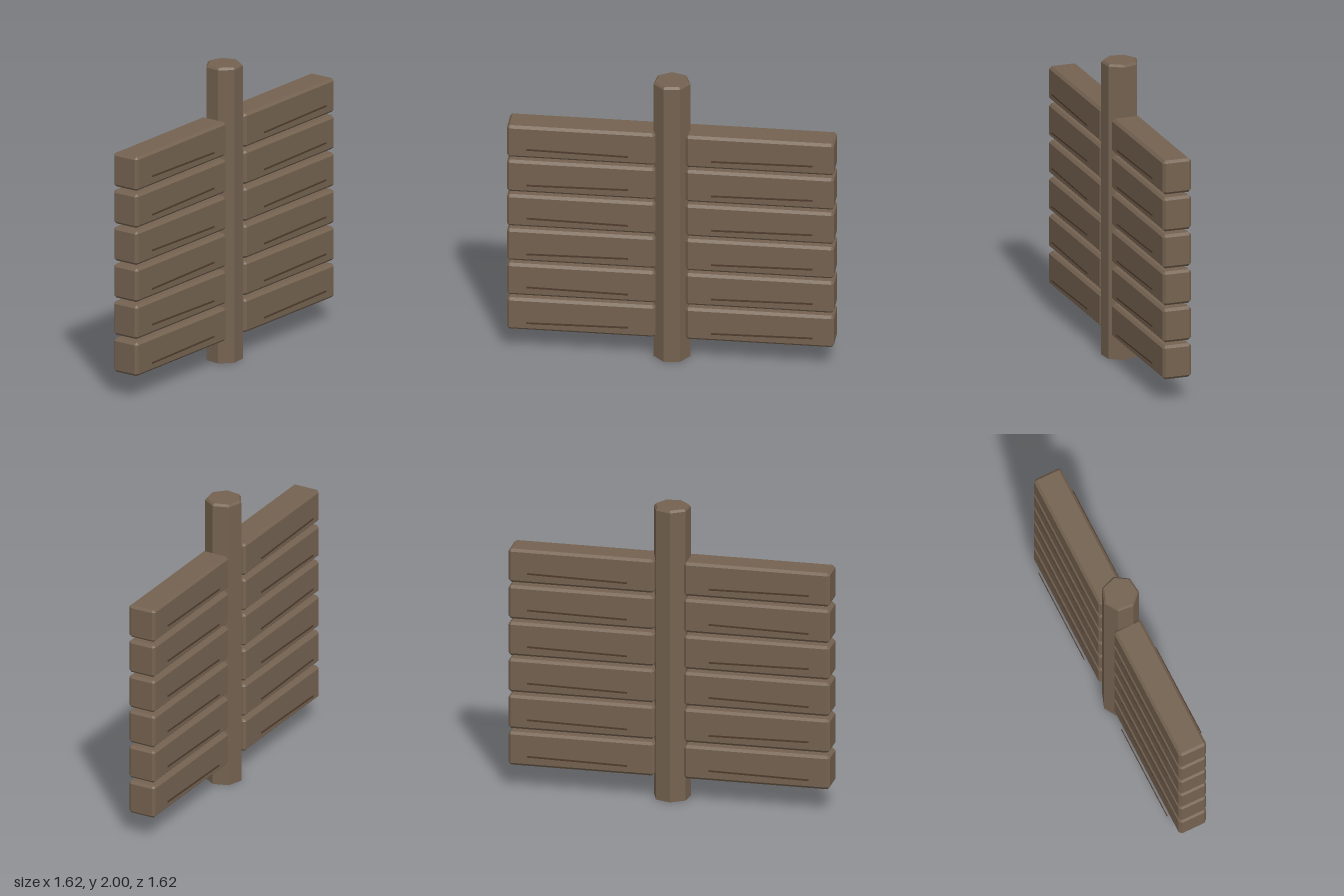
import * as THREE from 'three';
import { ConvexGeometry } from 'three/addons/geometries/ConvexGeometry.js';

const wood = new THREE.MeshStandardMaterial({ color: 0x746250 });
wood.name = 'wood';
const darkWood = new THREE.MeshStandardMaterial({ color: 0x4f3c2e });
darkWood.name = 'dark wood';

function add(parent, name, geometry, material) {
  const mesh = new THREE.Mesh(geometry, material);
  mesh.name = name;
  parent.add(mesh);
  return mesh;
}

// Seven-sided column with a bevelled top and flat faces
function postGeometry() {
  const profile = [[0, 0], [0.122, 0], [0.122, 1.985], [0.109, 2], [0, 2]]
    .map(([x, y]) => new THREE.Vector2(x, y));
  const geometry = new THREE.LatheGeometry(profile, 7, Math.PI).toNonIndexed();
  geometry.computeVertexNormals();
  return geometry;
}

// Box with every edge and corner chamfered by c
function chamferedBox(w, h, d, c) {
  const points = [];
  for (const sx of [-1, 1]) for (const sy of [-1, 1]) for (const sz of [-1, 1]) {
    for (let axis = 0; axis < 3; axis++) {
      const inset = [c, c, c];
      inset[axis] = 0;
      points.push(new THREE.Vector3(
        sx * (w / 2 - inset[0]), sy * (h / 2 - inset[1]), sz * (d / 2 - inset[2])));
    }
  }
  return new ConvexGeometry(points);
}

export function createModel() {
  const model = new THREE.Group();
  model.name = 'plankFence';
  add(model, 'post', postGeometry(), wood);

  // Two opposite stacks of planks on the diagonal
  const planks = new THREE.Group();
  planks.name = 'planks';
  planks.rotation.y = Math.PI / 4;
  model.add(planks);

  const plankGeometry = chamferedBox(0.965, 0.229, 0.195, 0.017);
  const grainGeometry = new THREE.BoxGeometry(0.66, 0.011, 0.005);
  for (const side of [-1, 1]) {
    for (let i = 0; i < 6; i++) {
      const y = 0.275 + i * 0.2512;
      add(planks, 'plank', plankGeometry, wood).position.set(side * 0.581, y, 0);
      // Straight, slightly tilted grain line in front of each broad face
      for (const face of [-1, 1]) {
        const grain = add(planks, 'grainLine', grainGeometry, darkWood);
        grain.position.set(side * 0.6, y - 0.042, face * 0.123);
        grain.rotation.z = side < 0 && i % 2 ? -0.015 : 0.015;
      }
    }
  }
  return model;
}
